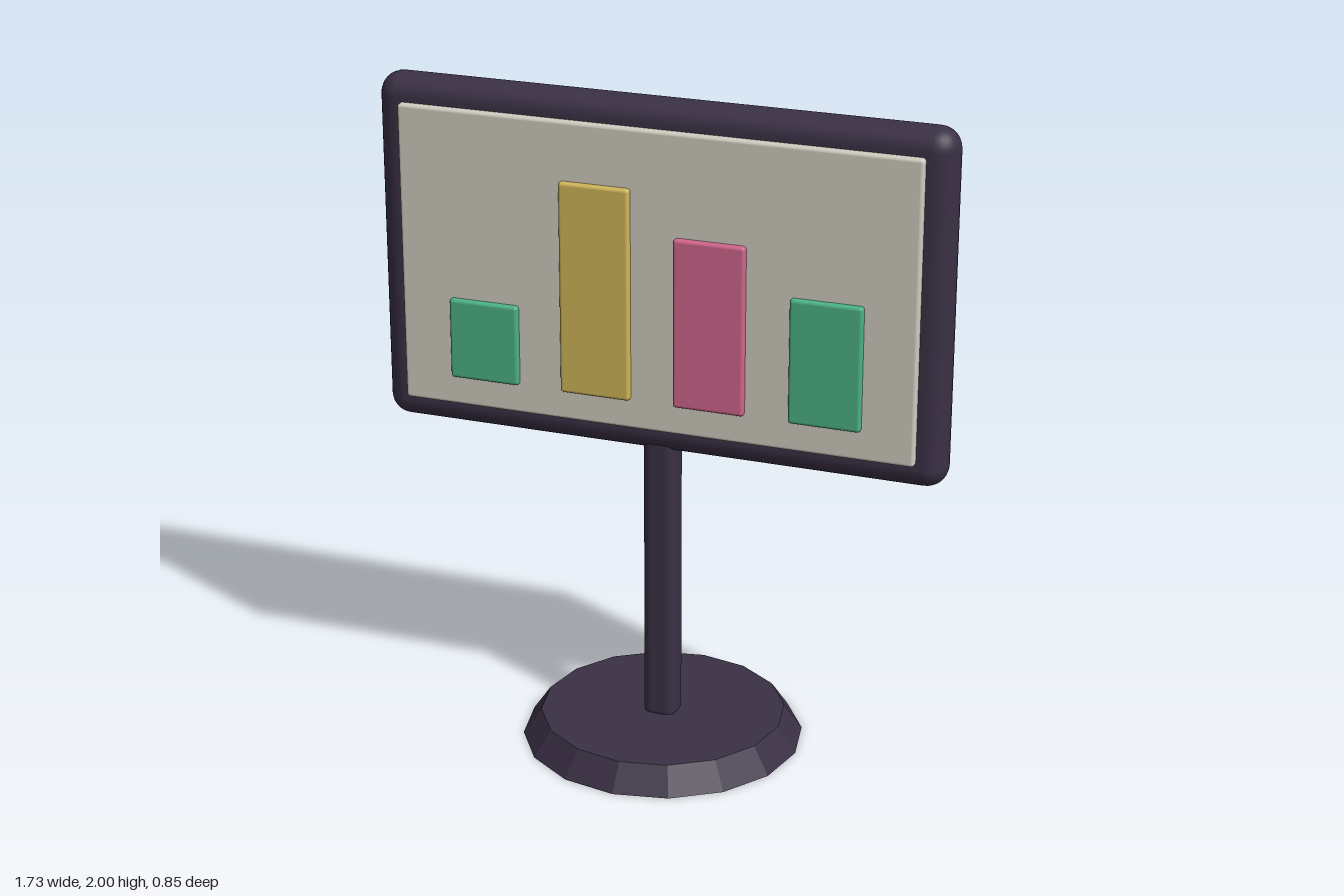
import * as THREE from 'three';
import { RoundedBoxGeometry } from 'three/addons/geometries/RoundedBoxGeometry.js';

const mat = (color, flatShading = false) => {
  const m = new THREE.MeshStandardMaterial({ color });
  m.flatShading = flatShading;
  return m;
};

export function createModel() {
  const model = new THREE.Group();
  const dark = mat(0x3a3045);
  const green = mat(0x4cb284);

  const add = (name, geometry, material, x, y, z) => {
    const mesh = new THREE.Mesh(geometry, material);
    mesh.name = name;
    mesh.position.set(x, y, z);
    model.add(mesh);
  };

  // Rounded slab given by its centre x, vertical range and depth range
  const slab = (name, material, x, width, [y0, y1], [z0, z1], radius) =>
    add(name, new RoundedBoxGeometry(width, y1 - y0, z1 - z0, 4, radius), material,
      x, (y0 + y1) / 2, (z0 + z1) / 2);

  // Faceted, tapered foot
  add('base', new THREE.CylinderGeometry(0.37, 0.425, 0.08, 16), mat(0x3a3045, true), 0, 0.04, 0);

  // Upright and display
  slab('post', dark, 0, 0.1, [0.06, 0.99], [-0.05, 0.05], 0.03);
  slab('screenFrame', dark, 0, 1.73, [0.94, 2], [-0.065, 0.065], 0.064);
  slab('screenPanel', mat(0xd0ccc0), 0, 1.57, [1.02, 1.925], [0.045, 0.087], 0.01);

  // Chart bars standing on a common line
  const bars = [
    ['firstBar', green, 1.355],
    ['secondBar', mat(0xd0b65a), 1.75],
    ['thirdBar', mat(0xd0668c), 1.62],
    ['fourthBar', green, 1.485],
  ];
  bars.forEach(([name, material, top], i) =>
    slab(name, material, (i - 1.5) * 0.348, 0.215, [1.11, top], [0.07, 0.105], 0.01));

  return model;
}
